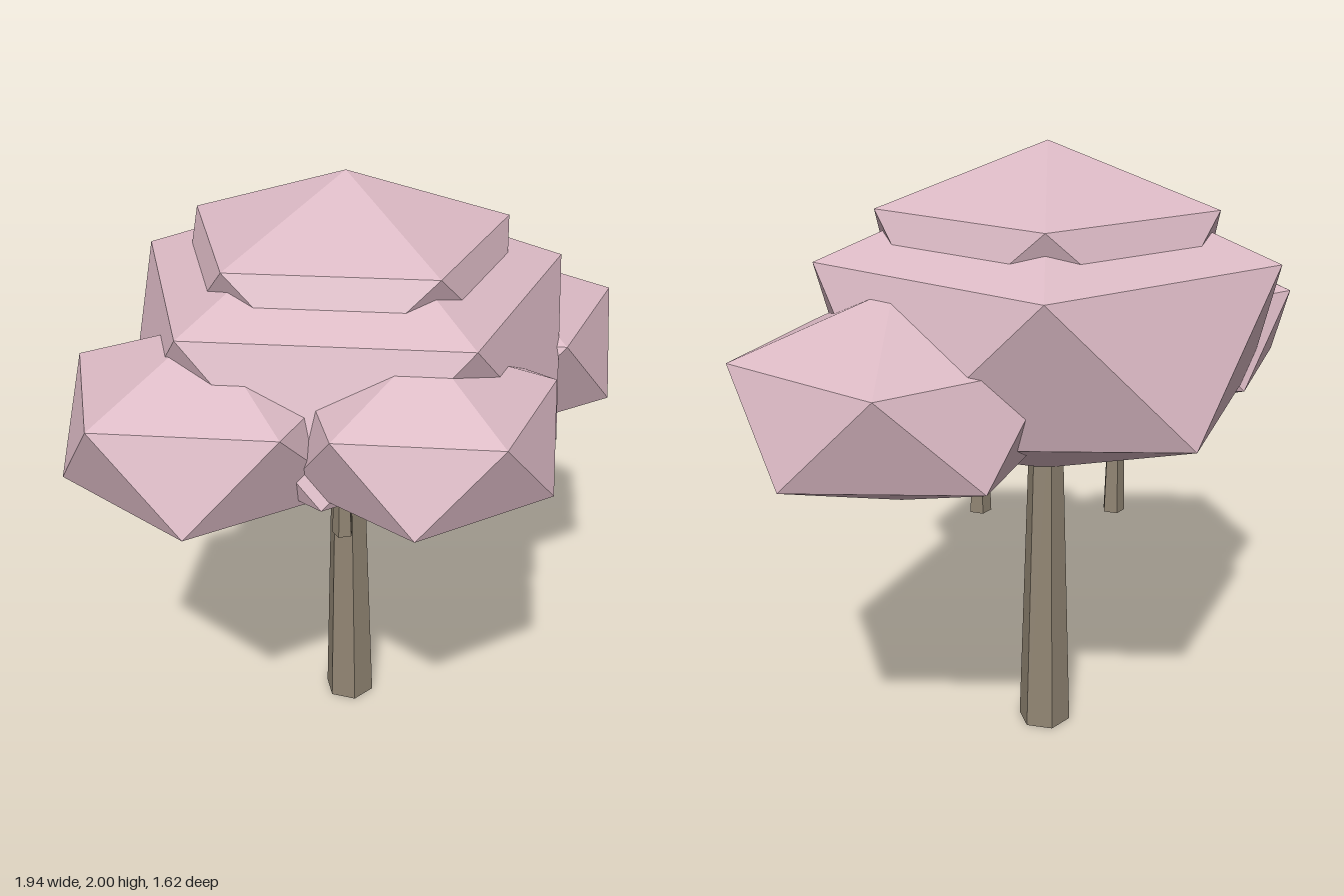
import * as THREE from 'three';
import { ConvexGeometry } from 'three/addons/geometries/ConvexGeometry.js';

const foliage = new THREE.MeshStandardMaterial({ color: 0xdbb9c4, flatShading: true });
foliage.name = 'pinkFoliage';
const bark = new THREE.MeshStandardMaterial({ color: 0x918573, flatShading: true });
bark.name = 'bark';

// Flattened icosahedron standing on a tip: two staggered rings of five plus two tips
function makeClump(name, x, y, z, radius, halfHeight) {
  const ring = radius * 2 / Math.sqrt(5);
  const level = halfHeight / Math.sqrt(5);
  const points = [new THREE.Vector3(0, halfHeight, 0), new THREE.Vector3(0, -halfHeight, 0)];
  for (let i = 0; i < 10; i++) {
    const a = i * Math.PI / 5;
    points.push(new THREE.Vector3(ring * Math.cos(a), i % 2 ? -level : level, ring * Math.sin(a)));
  }
  const mesh = new THREE.Mesh(new ConvexGeometry(points), foliage);
  mesh.name = name;
  mesh.position.set(x, y, z);
  return mesh;
}

// Tapered stem from y0 up to y1
function makeStem(name, x, z, y0, y1, rBottom, rTop, sides) {
  const mesh = new THREE.Mesh(new THREE.CylinderGeometry(rTop, rBottom, y1 - y0, sides), bark);
  mesh.name = name;
  mesh.position.set(x, (y0 + y1) / 2, z);
  mesh.rotation.y = Math.PI;
  return mesh;
}

export function createModel() {
  const tree = new THREE.Group();
  tree.name = 'tree';
  const cx = -0.03, cz = -0.13;

  // Trunk and three short branches spaced evenly around it
  tree.add(makeStem('trunk', cx, cz, 0, 1.2, 0.09, 0.052, 6));
  for (let i = 0; i < 3; i++) {
    const a = -0.245 + i * Math.PI * 2 / 3;
    tree.add(makeStem('branch' + (i + 1), cx + 0.247 * Math.cos(a), cz + 0.247 * Math.sin(a),
      0.85, 1.22, 0.036, 0.024, 5));
  }

  // Canopy: wide middle, smaller crown and three side clumps
  tree.add(
    makeClump('mainCanopy', cx, 1.448, cz, 0.805, 0.503),
    makeClump('crown', cx, 1.674, cz, 0.595, 0.326),
    makeClump('rightClump', -0.51, 1.34, 0.15, 0.514, 0.313),
    makeClump('frontClump', 0.08, 1.375, 0.425, 0.451, 0.28),
    makeClump('backLeftClump', 0.492, 1.305, -0.345, 0.534, 0.324)
  );
  return tree;
}
